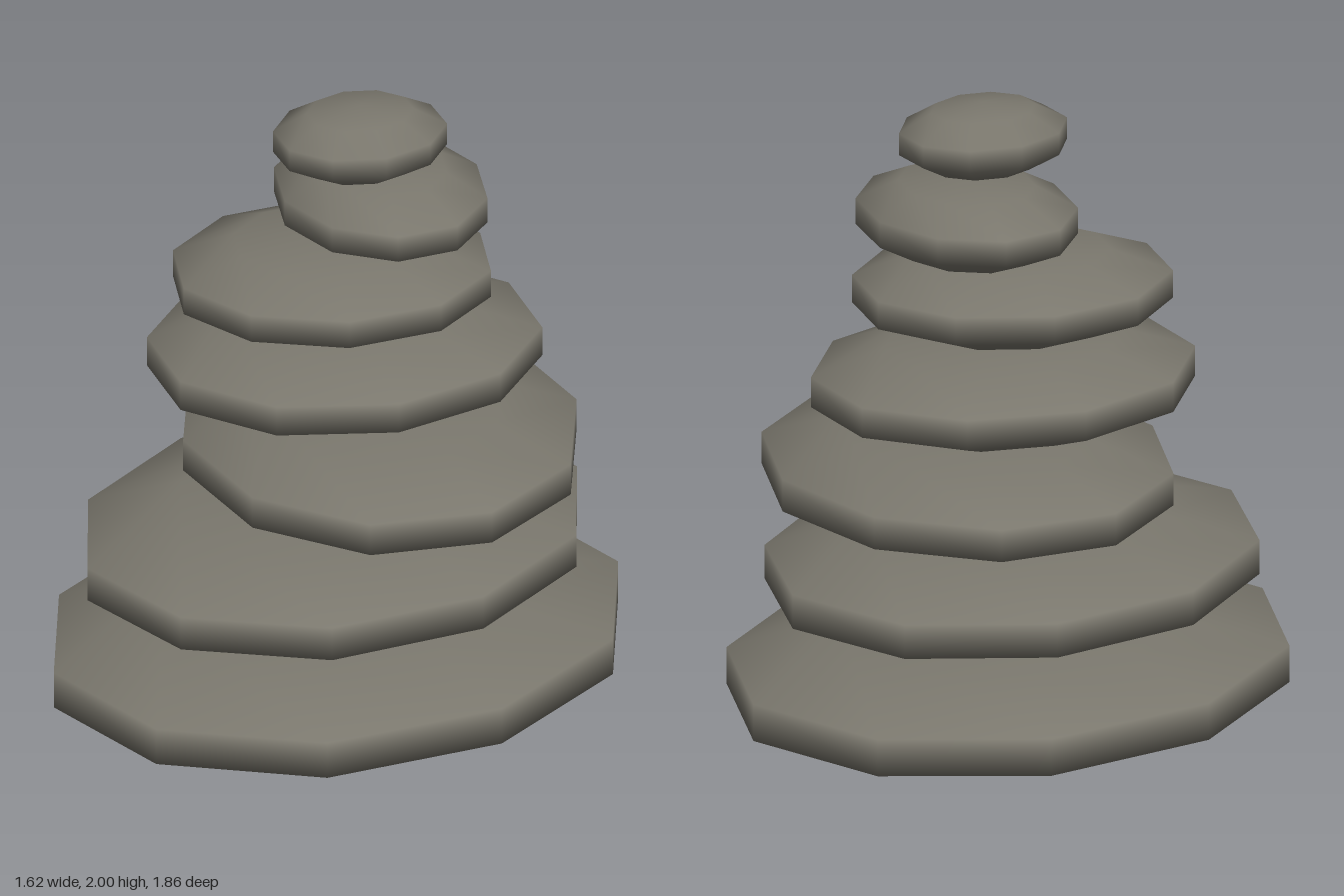
import * as THREE from 'three';

// One entry per stone, bottom to top:
// centre x, y, z, then half sizes across, up and along, then the turn about y
const STONES = [
  [0, 0.191, 0, 0.84, 0.19, 0.997, -0.385],
  [-0.013, 0.531, 0, 0.742, 0.175, 0.872, -0.36],
  [0.095, 0.846, -0.103, 0.644, 0.165, 0.76, 0.733],
  [-0.005, 1.14, -0.063, 0.542, 0.154, 0.64, -0.741],
  [-0.015, 1.411, -0.002, 0.442, 0.142, 0.519, -0.94],
  [0.097, 1.66, -0.105, 0.333, 0.133, 0.4, 0.91],
  [0.075, 1.888, -0.015, 0.238, 0.112, 0.283, -0.7],
];

export function createModel() {
  const group = new THREE.Group();
  group.name = 'stoneStack';
  const stone = new THREE.MeshStandardMaterial({ color: 0x7a776d });
  stone.name = 'stoneGrey';

  // Every stone is the same coarse, smooth-shaded ball, flattened and turned
  const pebble = new THREE.SphereGeometry(1, 10, 5);
  STONES.forEach(([x, y, z, across, up, along, turn], i) => {
    const mesh = new THREE.Mesh(pebble, stone);
    mesh.name = `stone${i + 1}`;
    mesh.position.set(x, y, z);
    mesh.scale.set(across, up, along);
    mesh.rotation.y = turn;
    group.add(mesh);
  });
  return group;
}
